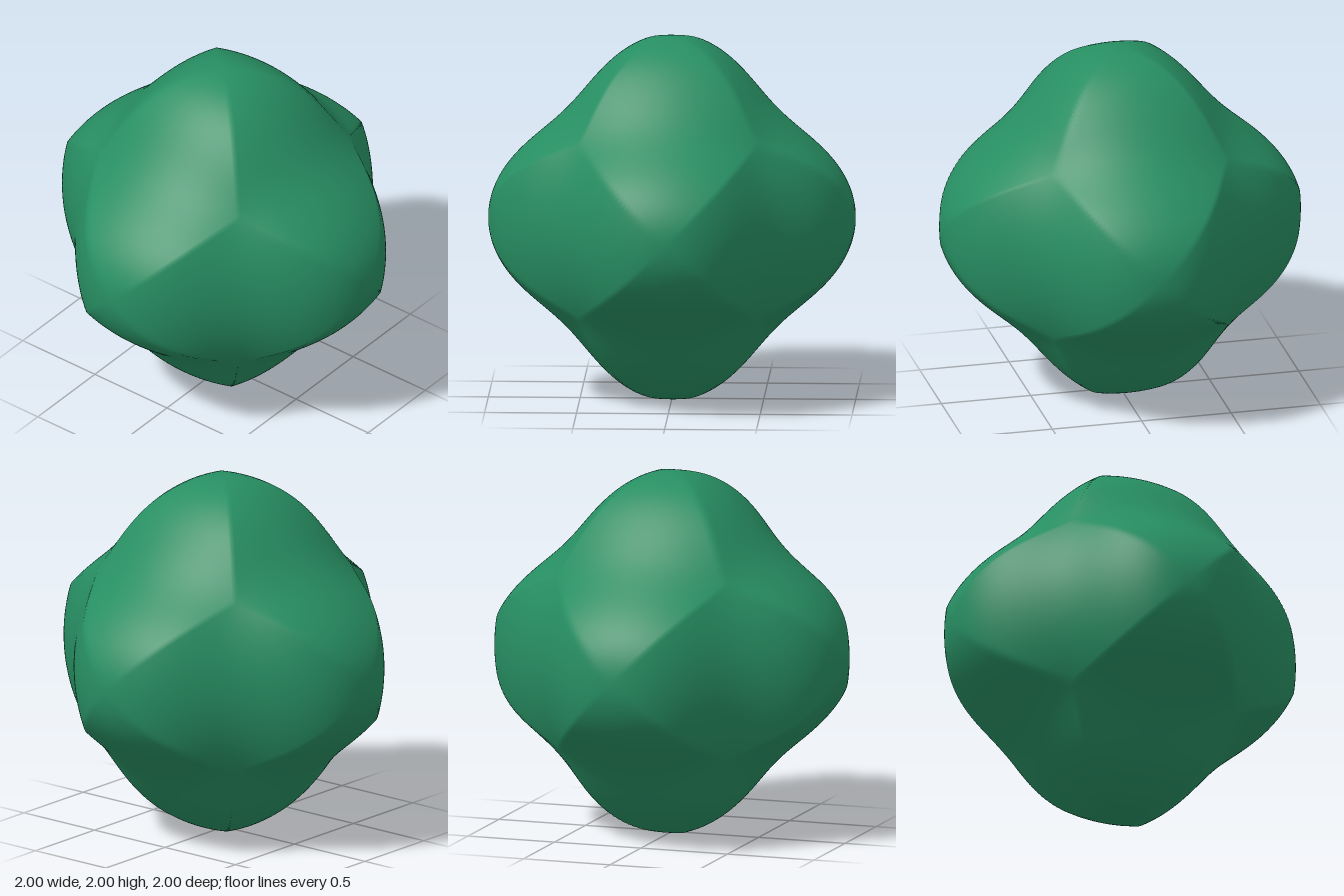
import * as THREE from 'three';
import { mergeVertices } from 'three/addons/utils/BufferGeometryUtils.js';

const SEGMENTS = 64;   // grid per cube face
const DIP = 0.173;     // groove depth midway between two bumps
const CORNER = 0.1;    // slight lift where three grooves meet

// Radius for a direction: six rounded bumps on the axes, grooves between them,
// and soft ridges running from each bump to the corners.
function radiusAt(v) {
  const [c, b, a] = [v.x * v.x, v.y * v.y, v.z * v.z].sort((p, q) => p - q);
  const s = a + b + CORNER * c;
  return 1 - DIP * (4 * a * b) / (s * s);
}

function bumpyGeometry() {
  let geo = new THREE.BoxGeometry(2, 2, 2, SEGMENTS, SEGMENTS, SEGMENTS);
  geo.deleteAttribute('normal');
  geo.deleteAttribute('uv');
  geo.clearGroups();
  geo = mergeVertices(geo, 1e-4);
  const pos = geo.attributes.position;
  const v = new THREE.Vector3();
  const even = (t) => Math.tan(t * Math.PI / 4); // evens out the spacing on the sphere
  for (let i = 0; i < pos.count; i++) {
    v.fromBufferAttribute(pos, i);
    v.set(even(v.x), even(v.y), even(v.z)).normalize();
    v.multiplyScalar(radiusAt(v));
    pos.setXYZ(i, v.x, v.y, v.z);
  }
  geo.computeVertexNormals();
  return geo;
}

export function createModel() {
  const group = new THREE.Group();
  group.name = 'sixBumpSolid';
  const green = new THREE.MeshStandardMaterial({ color: 0x278e62 });
  green.name = 'emerald green';

  const body = new THREE.Mesh(bumpyGeometry(), green);
  body.name = 'body';
  body.position.y = 1;
  group.add(body);
  return group;
}
